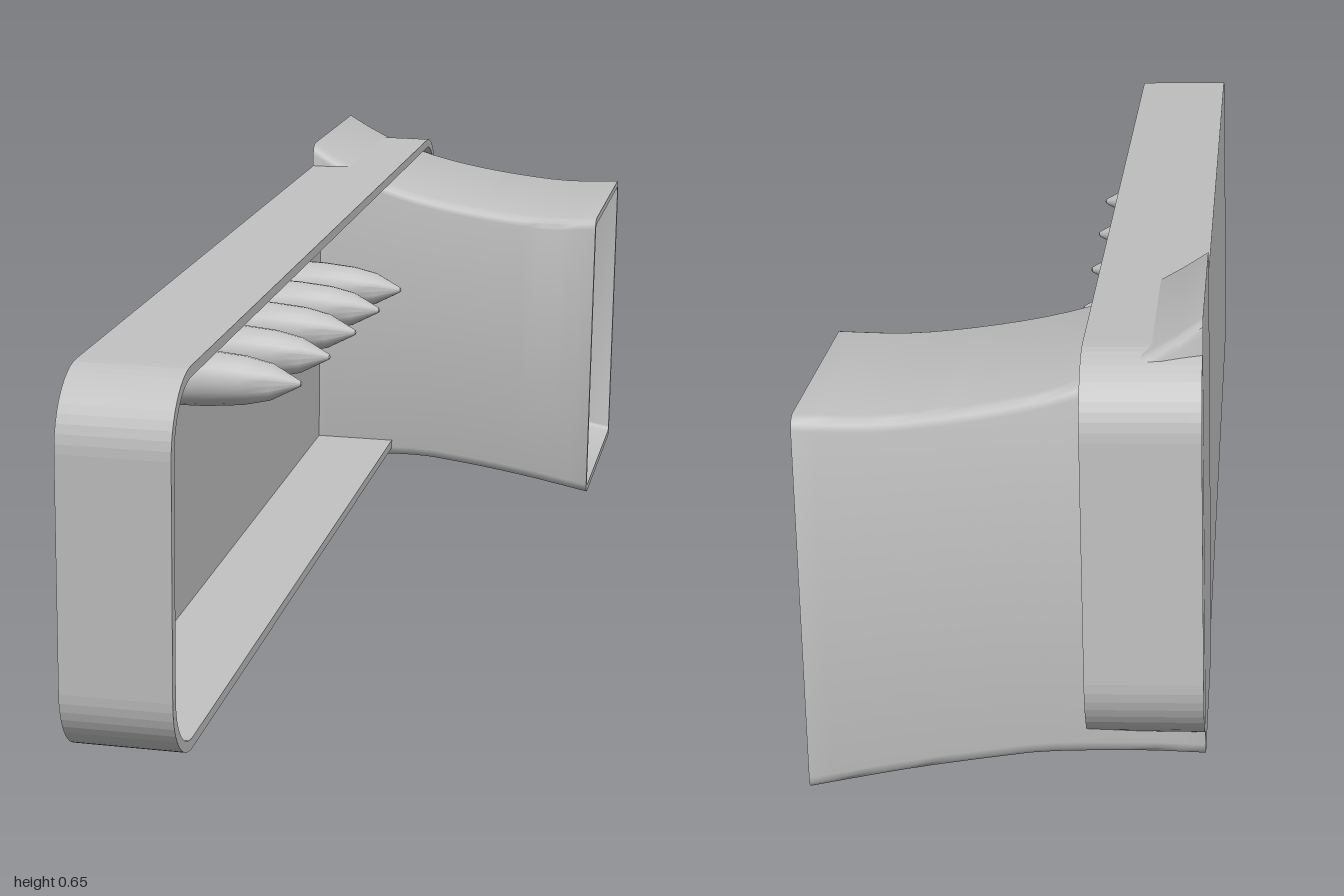
import * as THREE from 'three';
import { toCreasedNormals } from 'three/addons/utils/BufferGeometryUtils.js';

const PLATE_X = -0.195, RIM_X = -0.042, WALL = 0.015;

// Rounded rectangle, used for the tray outline and its opening
function roundedRect(Type, x0, y0, x1, y1, r) {
  const p = new Type();
  p.moveTo(x0 + r, y0);
  p.lineTo(x1 - r, y0);
  p.absarc(x1 - r, y0 + r, r, -Math.PI / 2, 0, false);
  p.lineTo(x1, y1 - r);
  p.absarc(x1 - r, y1 - r, r, 0, Math.PI / 2, false);
  p.lineTo(x0 + r, y1);
  p.absarc(x0 + r, y1 - r, r, Math.PI / 2, Math.PI, false);
  p.lineTo(x0, y0 + r);
  p.absarc(x0 + r, y0 + r, r, Math.PI, Math.PI * 1.5, false);
  return p;
}

function extrudeAlongX(shape, from, to) {
  const g = new THREE.ExtrudeGeometry(shape, { depth: to - from, bevelEnabled: false, curveSegments: 6 });
  return g.rotateY(Math.PI / 2).translate(from, 0, 0);
}

// Rounded rectangular loop of points at a given x
function section(x, bottom, top, back, front, r) {
  const pts = [];
  const corners = [[top, front, 0], [bottom, front, 1], [bottom, back, 2], [top, back, 3]];
  for (const [y, z, q] of corners) {
    const cy = y === top ? top - r : bottom + r;
    const cz = z === front ? front - r : back + r;
    for (let k = 0; k <= 3; k++) {
      const a = (q + k / 3) * Math.PI / 2;
      pts.push([x, cy + r * Math.cos(a), cz + r * Math.sin(a)]);
    }
  }
  return pts;
}

// Join successive loops into one skin
function loft(rows) {
  const n = rows[0].length, index = [];
  for (let i = 0; i < rows.length - 1; i++) {
    for (let j = 0; j < n; j++) {
      const a = i * n + j, b = i * n + (j + 1) % n;
      index.push(a, b, a + n, b, b + n, a + n);
    }
  }
  const g = new THREE.BufferGeometry();
  g.setAttribute('position', new THREE.Float32BufferAttribute(rows.flat(2), 3));
  g.setIndex(index);
  return toCreasedNormals(g, 0.6);
}

// Flared duct: outer skin, open end, then inner skin back to the plate
function ductGeometry() {
  const curve = (pts) => new THREE.SplineCurve(pts.map(([x, y]) => new THREE.Vector2(x, y)));
  const at = (c, x) => {
    let lo = 0, hi = 1;
    for (let k = 0; k < 24; k++) {
      const m = (lo + hi) / 2;
      if (c.getPoint(m).x < x) lo = m; else hi = m;
    }
    return c.getPoint(lo).y;
  };
  const x0 = PLATE_X - 0.0005, x1 = 0.322;
  const top = curve([[x0, 0.314], [-0.13, 0.275], [-0.042, 0.24], [0.07, 0.215], [0.21, 0.199], [x1, 0.201]]);
  const bottom = curve([[x0, -0.28], [-0.1, -0.268], [0, -0.264], [0.07, -0.27], [0.19, -0.287], [x1, -0.312]]);
  const back = curve([[x0, -0.918], [-0.05, -0.946], [0.1, -0.957], [x1, -0.963]]);
  const loop = (x, t, r) => section(x, at(bottom, x) + t, at(top, x) - t, at(back, x) + t, -0.555 - t, r);
  const centre = (x) => loop(x, 0, 0.018).map(() => [x, 0, -0.74]);
  const steps = 16, outer = [], inner = [];
  for (let i = 0; i <= steps; i++) {
    const x = x0 + (x1 - x0) * i / steps;
    outer.push(loop(x, 0, 0.018));
    inner.unshift(loop(Math.max(x, PLATE_X + WALL + 0.001), 0.012, 0.008));
  }
  return loft([centre(x0), ...outer, ...inner, centre(PLATE_X + WALL + 0.001)]);
}

export function createModel() {
  const grey = new THREE.MeshStandardMaterial({ color: 0xc0c0c0 });
  grey.name = 'light grey';
  const model = new THREE.Group();
  model.name = 'ductedTray';
  const body = new THREE.Group();
  body.name = 'tiltedBody';
  body.position.set(0, 0.3, 0);
  body.rotation.set(0.046, 0.079, -0.025);
  model.add(body);

  const add = (name, geometry) => {
    const mesh = new THREE.Mesh(geometry, grey);
    mesh.name = name;
    body.add(mesh);
    return mesh;
  };

  // Shallow tray: back plate and surrounding wall
  const outline = () => roundedRect(THREE.Shape, -0.985, -0.249, 0.985, 0.275, 0.1);
  add('backPlate', extrudeAlongX(outline(), PLATE_X, PLATE_X + WALL));
  const ring = outline();
  ring.holes.push(roundedRect(THREE.Path, -0.985 + WALL, -0.249 + WALL, 0.985 - WALL, 0.275 - WALL, 0.1 - WALL));
  add('trayWall', extrudeAlongX(ring, PLATE_X + WALL, RIM_X));

  // Flared rectangular duct
  add('duct', ductGeometry());

  // Row of pointed pegs
  const profile = [[0.042, 0], [0.041, 0.05], [0.036, 0.105], [0.027, 0.145], [0.004, 0.188], [0, 0.19]]
    .map(([r, h]) => new THREE.Vector2(r, h));
  const pegGeometry = toCreasedNormals(new THREE.LatheGeometry(profile, 20).rotateZ(-Math.PI / 2), 0.5);
  for (let i = 0; i < 5; i++) {
    const peg = add('peg' + (i + 1), pegGeometry);
    peg.position.set(PLATE_X + WALL, 0.143 - i * 0.01, 0.46 - i * 0.2);
  }
  return model;
}
